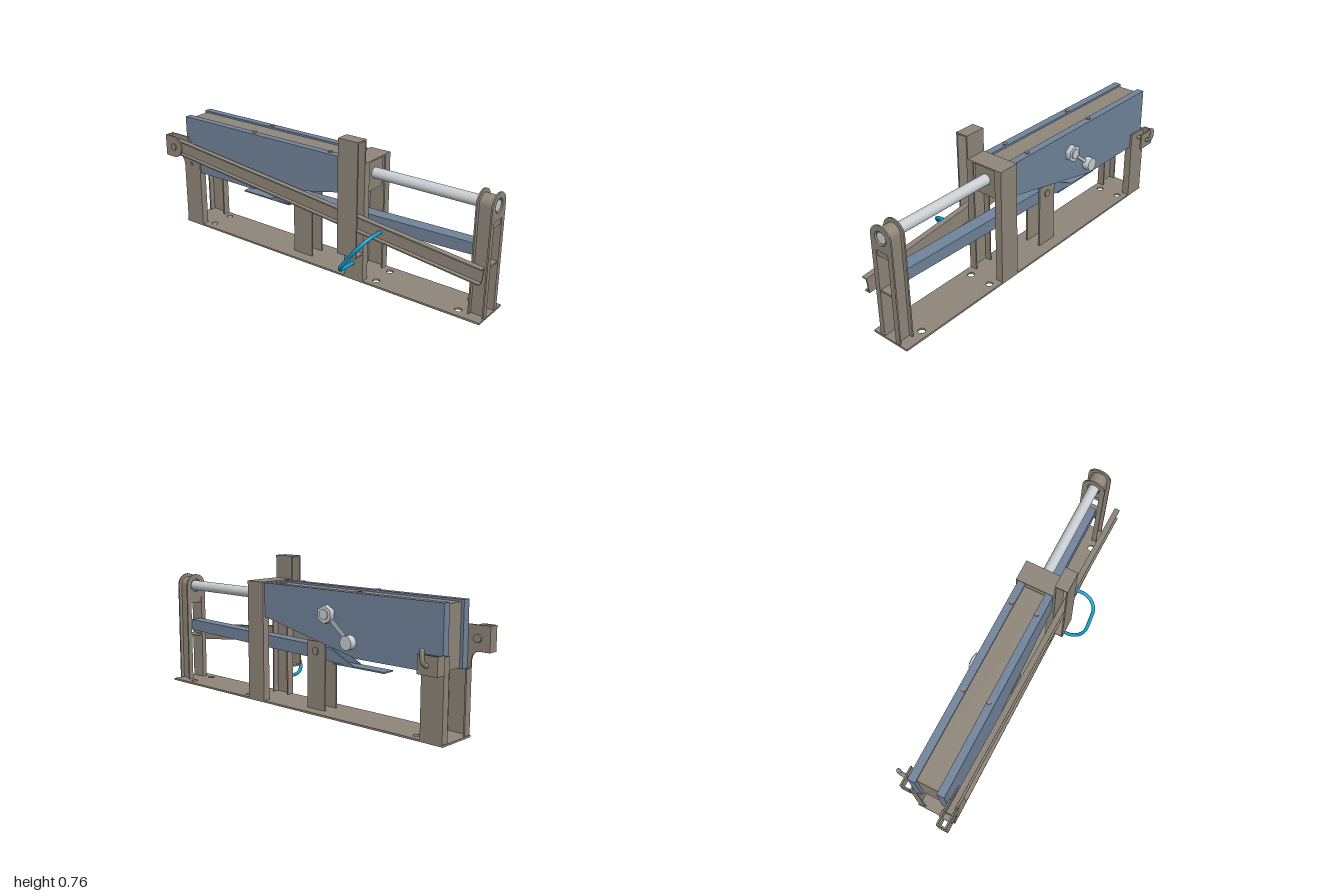
import * as THREE from 'three';

const mat = (name, color, side = THREE.FrontSide) => {
  const m = new THREE.MeshStandardMaterial({ color, side });
  m.name = name;
  return m;
};

export function createModel() {
  const root = new THREE.Group();
  const brown = mat('taupe steel', 0x8f867a);
  const blue = mat('slate blue', 0x71849b);
  const steel = mat('bright steel', 0xc9cfd3);
  const cyan = mat('cyan handle', 0x0a9bcb);
  const MID = -0.033; // centre line of the frame in z

  const add = (name, geo, m, parent = root) => {
    const mesh = new THREE.Mesh(geo, m);
    mesh.name = name;
    parent.add(mesh);
    return mesh;
  };
  // box given by its limits
  const box = (name, m, x0, x1, y0, y1, z0, z1, parent) => {
    const b = add(name, new THREE.BoxGeometry(x1 - x0, y1 - y0, z1 - z0), m, parent);
    b.position.set((x0 + x1) / 2, (y0 + y1) / 2, (z0 + z1) / 2);
    return b;
  };
  const poly = (pts) => new THREE.Shape(pts.map(([x, y]) => new THREE.Vector2(x, y)));
  const hole = (x, y, r) => new THREE.Path().absarc(x, y, r, 0, Math.PI * 2, true);
  const extrude = (shape, z0, z1) =>
    new THREE.ExtrudeGeometry(shape, { depth: z1 - z0, bevelEnabled: false, curveSegments: 20 }).translate(0, 0, z0);
  const plate = (name, m, shape, z0, z1) => add(name, extrude(shape, z0, z1), m);
  // round bar along z or x
  const pinZ = (name, m, x, y, r, z0, z1, sides = 24) =>
    add(name, new THREE.CylinderGeometry(r, r, z1 - z0, sides).rotateX(Math.PI / 2).translate(x, y, (z0 + z1) / 2), m);
  const barX = (name, m, y, z, r, x0, x1) =>
    add(name, new THREE.CylinderGeometry(r, r, x1 - x0, 32).rotateZ(Math.PI / 2).translate((x0 + x1) / 2, y, z), m);

  // base plate with pairs of bolt holes
  const base = poly([[-0.91, -0.075], [0.985, -0.075], [0.985, 0.142], [-0.91, 0.142]]);
  for (const x of [-0.74, 0.385, 0.85])
    for (const z of [-0.025, 0.098]) base.holes.push(hole(x, z, 0.018));
  add('basePlate', extrude(base, 0, 0.01).rotateX(-Math.PI / 2), brown);

  // upright channel: web on the outside, two flanges pointing inward
  const channel = (name, x0, x1, y1, zOut, dir, depth = 0.04, t = 0.008) => {
    const g = new THREE.Group();
    g.name = name;
    const zs = (a, b) => [Math.min(zOut + dir * a, zOut + dir * b), Math.max(zOut + dir * a, zOut + dir * b)];
    box('web', brown, x0, x1, 0.01, y1, ...zs(0, t), g);
    box('flange', brown, x0, x0 + t, 0.01, y1, ...zs(t, depth), g);
    box('flange', brown, x1 - t, x1, 0.01, y1, ...zs(t, depth), g);
    root.add(g);
  };

  // rear uprights, the front one with a flared pivot head
  channel('rearUprightBack', -0.905, -0.785, 0.4, -0.142, 1);
  for (const x of [-0.905, -0.793]) box('rearUprightFrontFlange', brown, x, x + 0.008, 0.01, 0.32, 0.035, 0.067);
  const head = poly([[-0.905, 0.01], [-0.785, 0.01], [-0.785, 0.46], [-0.87, 0.505], [-0.87, 0.52], [-1, 0.52], [-1, 0.4], [-0.95, 0.4]]);
  head.quadraticCurveTo(-0.905, 0.4, -0.905, 0.34);
  head.holes.push(hole(-0.85, 0.365, 0.01));
  plate('rearUprightFront', brown, head, 0.067, 0.075);
  const lug = poly([[-1, 0.4], [-0.94, 0.4]]);
  lug.absarc(-0.94, 0.46, 0.06, -Math.PI / 2, Math.PI / 2, false);
  lug.lineTo(-1, 0.52);
  plate('pivotLug', brown, lug, 0.111, 0.12);
  box('pivotLugEnd', brown, -1, -0.992, 0.4, 0.52, 0.075, 0.111);
  pinZ('leverPivotPin', brown, -0.938, 0.46, 0.02, 0.055, 0.127);

  // middle support plates and beam pivot
  for (const z of [0.004, -0.079]) box('middleSupport', brown, -0.155, -0.035, 0.01, 0.36, z, z + 0.009);
  pinZ('beamPivotPin', brown, -0.092, 0.31, 0.02, -0.085, 0.018);

  // gate straddling the housing
  channel('gateColumnFront', 0.22, 0.335, 0.628, 0.075, -1);
  channel('gateColumnBack', 0.22, 0.335, 0.628, -0.142, 1);
  box('gateTop', brown, 0.22, 0.335, 0.628, 0.636, -0.142, 0.075);
  // lever guide loop on the front of the gate
  box('guideFront', brown, 0.22, 0.335, 0.157, 0.757, 0.128, 0.136);
  box('guideBack', brown, 0.22, 0.335, 0.628, 0.757, 0.067, 0.075);
  for (const y of [0.157, 0.749]) box('guideCap', brown, 0.22, 0.335, y, y + 0.008, 0.067, 0.128);

  // housing: blue sloped cheeks with a recessed core between
  const housing = (x0, top, low) =>
    poly([[x0, 0.32 + low], [-0.4, 0.32 + low], [0.22, 0.455 + low], [0.22, top], [x0, top]]);
  plate('housingCheekFront', blue, housing(-0.89, 0.632, 0), 0.022, 0.062);
  plate('housingCheekBack', blue, housing(-0.89, 0.632, 0), -0.13, -0.09);
  plate('housingCore', brown, housing(-0.875, 0.622, 0.004), -0.09, 0.022);
  box('gateFiller', brown, 0.21, 0.32, 0.47, 0.628, -0.1, 0.034);
  for (const x of [-0.4, 0.1])
    for (const z of [-0.105, 0.033])
      add('topScrew', new THREE.CylinderGeometry(0.012, 0.012, 0.008, 16).translate(x, 0.634, z), brown);

  // sliding rod
  barX('rod', steel, 0.556, MID, 0.028, 0.3, 0.978);
  barX('rodCollar', blue, 0.556, MID, 0.036, 0.91, 0.972);

  // front end post: two arched plates around a narrower web
  const arch = (half, cut, holeR) => {
    const s = new THREE.Shape();
    s.moveTo(-half, 0.01);
    s.lineTo(-cut, 0.01);
    s.lineTo(-cut, 0.487);
    s.lineTo(cut, 0.487);
    s.lineTo(cut, 0.01);
    s.lineTo(half, 0.01);
    s.lineTo(half, 0.556);
    s.absarc(0, 0.556, half, 0, Math.PI, false);
    s.holes.push(hole(0, 0.556, holeR));
    return s;
  };
  const post = (name, half, x0, x1) =>
    add(name, extrude(arch(half, 0.037, 0.036), x0, x1).rotateY(Math.PI / 2).translate(0, 0, MID), brown);
  post('endPostInnerPlate', 0.064, 0.9, 0.908);
  post('endPostOuterPlate', 0.064, 0.975, 0.983);
  post('endPostWeb', 0.045, 0.908, 0.975);
  box('endPostCrossbar', brown, 0.905, 0.978, 0.455, 0.487, -0.07, 0.004);
  box('endPostShelf', brown, 0.905, 0.978, 0.258, 0.268, -0.07, 0.004);

  // lower beam: inverted channel, slightly tilted
  const beam = poly([[-0.33, 0.262], [0.905, 0.3], [0.905, 0.36], [-0.18, 0.335]]);
  plate('beamSideFront', blue, beam, -0.007, 0.001);
  plate('beamSideBack', blue, beam, -0.068, -0.06);
  plate('beamTop', blue, poly([[-0.18, 0.327], [0.905, 0.352], [0.905, 0.36], [-0.18, 0.335]]), -0.06, -0.007);
  box('beamFoot', blue, -0.52, -0.2, 0.256, 0.263, -0.068, 0.001);
  box('stopPlate', blue, -0.58, -0.48, 0.306, 0.312, -0.068, 0.001);

  // lever: channel open to the front, tilted down
  const lever = new THREE.Group();
  lever.name = 'lever';
  box('leverWeb', brown, 0, 1.93, -0.042, 0.042, 0.079, 0.086, lever);
  for (const y of [-0.042, 0.035]) box('leverFlange', brown, 0, 1.93, y, y + 0.007, 0.086, 0.109, lever);
  lever.position.set(-0.932, 0.458, 0);
  lever.rotation.z = Math.atan2(-0.2, 1.92);
  root.add(lever);

  // bent handle from the gate foot to the lever
  const path = new THREE.CurvePath();
  const p = (t, z) => new THREE.Vector3(0.275 + 0.165 * t, 0.095 + 0.22 * t, z);
  path.add(new THREE.LineCurve3(p(0, 0.067), p(0, 0.14)));
  path.add(new THREE.CubicBezierCurve3(p(0, 0.14), p(0, 0.19), p(0.14, 0.233), p(0.34, 0.233)));
  path.add(new THREE.LineCurve3(p(0.34, 0.233), p(0.66, 0.233)));
  path.add(new THREE.CubicBezierCurve3(p(0.66, 0.233), p(0.86, 0.233), p(1, 0.19), p(1, 0.14)));
  path.add(new THREE.LineCurve3(p(1, 0.14), p(1, 0.085)));
  add('handle', new THREE.TubeGeometry(path, 64, 0.0095, 12), cyan);

  // back fittings: hex nut and round boss joined by a thin link
  pinZ('hexNut', steel, -0.22, 0.515, 0.046, -0.158, -0.13, 6);
  pinZ('hexNutFace', steel, -0.22, 0.515, 0.026, -0.164, -0.158);
  pinZ('roundBoss', steel, -0.365, 0.395, 0.035, -0.167, -0.13);
  const link = box('link', steel, -0.085, 0.085, -0.008, 0.008, -0.143, -0.135);
  link.position.x = -0.2925;
  link.position.y = 0.455;
  link.rotation.z = Math.atan2(0.12, 0.145);

  // back bracket with hook
  box('hookBracketSide', brown, -0.908, -0.9, 0.32, 0.41, -0.195, -0.142);
  box('hookBracketFace', brown, -0.908, -0.8, 0.32, 0.41, -0.195, -0.187);
  const hook = new THREE.CatmullRomCurve3(
    [[0.365, -0.14], [0.365, -0.2], [0.38, -0.222], [0.405, -0.229], [0.435, -0.229]].map(([y, z]) => new THREE.Vector3(-0.85, y, z)));
  add('hook', new THREE.TubeGeometry(hook, 32, 0.011, 12), brown);
  add('hookTip', new THREE.SphereGeometry(0.011, 12, 8).translate(-0.85, 0.435, -0.229), brown);

  return root;
}
